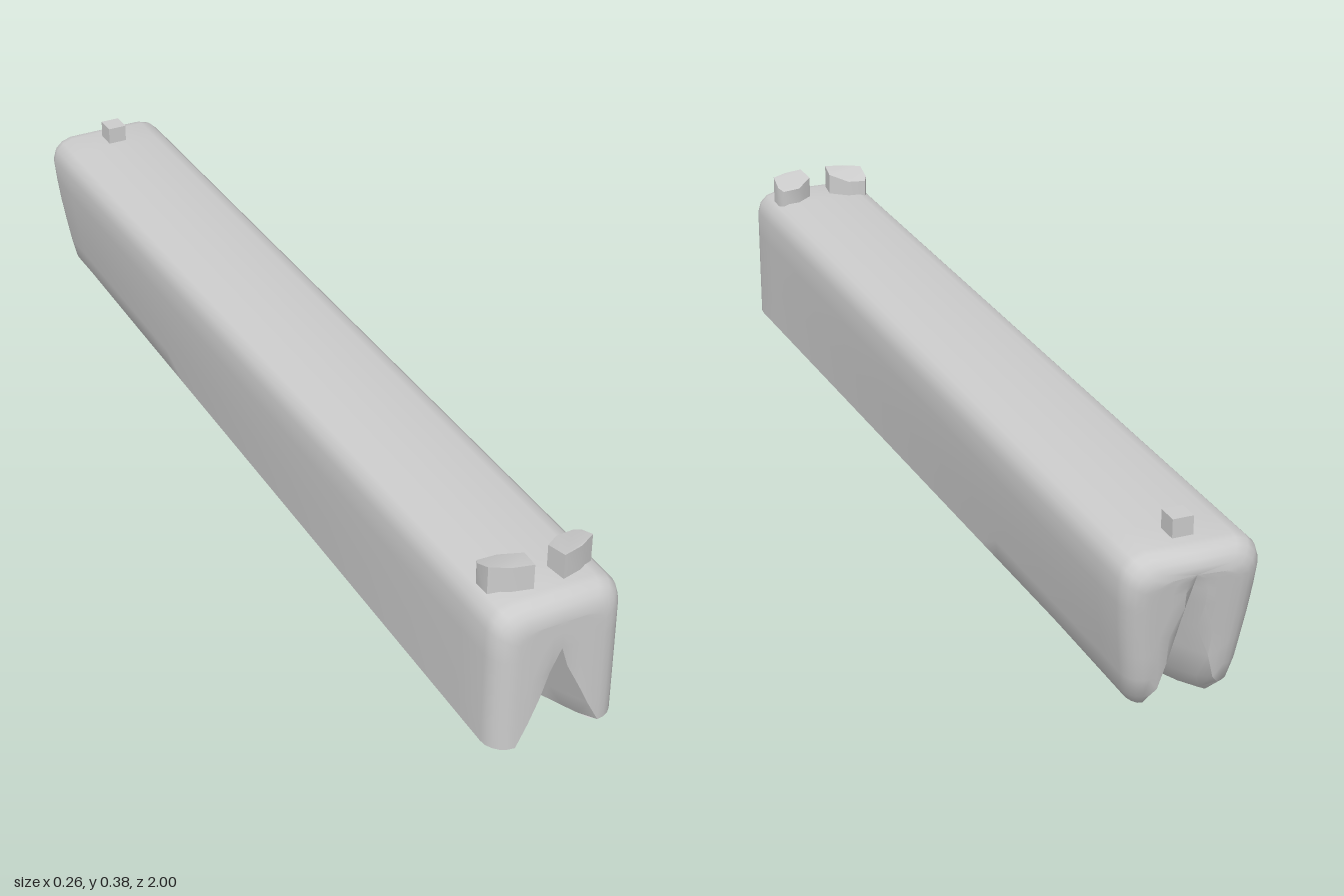
import * as THREE from 'three';
import { toCreasedNormals, mergeVertices } from 'three/addons/utils/BufferGeometryUtils.js';

const { clamp, lerp } = THREE.MathUtils;
const TOP = 0.336, ROUND = 0.045, WIDTH = 0.13;

// Half cross-sections at both ends: top centre, shoulder, side, lobe underside
const SHOULDER = [[0, TOP], [0.085, TOP], [0.108, 0.329], [0.123, 0.314]];
const FRONT = [...SHOULDER,
  [0.13, 0.29], [0.13, 0.235], [0.13, 0.185], [0.13, 0.137], [0.13, 0.09], [0.13, 0.043],
  [0.1, 0.041], [0.08, 0.04], [0.055, 0.04], [0.035, 0.04]];
const REAR = [...SHOULDER,
  [0.13, 0.29], [0.127, 0.24], [0.122, 0.19], [0.115, 0.14], [0.107, 0.09], [0.1, 0.05],
  [0.08, 0.018], [0.06, 0.006], [0.035, 0.004], [0.015, 0.012]];
const SIDE_END = 9, LAST = FRONT.length - 1;

// Height of the groove between the lobes, front to rear
function grooveHeight(t) {
  if (t < 0.35) return lerp(0.137, 0.06, t / 0.35);
  return lerp(0.06, 0.025, clamp((t - 0.35) / 0.35, 0, 1));
}

// V-shaped recess in the front face
function frontRecess(x, y) {
  const w = 0.08 * (0.235 - y) / 0.195;
  return 0.18 * Math.max(0, w - x) / 0.08;
}

// Sloping, rounded rear face with its own V-shaped recess
function rearRecess(x, y) {
  const slope = 0.03 * clamp((0.29 - y) / 0.19, 0, 1);
  const s = clamp((0.1 - y) / 0.096, 0, 1);
  const w = 0.06 * (0.31 - y) / 0.28;
  return slope + 0.085 * (1 - Math.sqrt(1 - s * s)) + 0.09 * Math.max(0, w - x) / 0.06;
}

function place(x, y, z) {
  const f = clamp((z - 0.6) / 0.4, 0, 1), r = clamp((-0.6 - z) / 0.4, 0, 1);
  return [x, y, z - f * frontRecess(x, y) + r * rearRecess(x, y)];
}

// Half cross-section at z, pulled in by an inset near the ends
function section(z, inset) {
  const t = clamp((1 - z) / 1.88, 0, 1);
  const pts = FRONT.map(([x, y], i) => [lerp(x, REAR[i][0], t), lerp(y, REAR[i][1], t)]);
  pts.push([0, grooveHeight(t)]);
  return pts.map(([x, y]) => [
    x * (1 - inset / WIDTH), y - inset * clamp((y - 0.25) / 0.08, 0, 1)]);
}

// Grid closing one end: rows run down the side, columns run towards the middle
function capGrid(pts, z) {
  const rows = [], inner = pts[LAST], side = pts[SIDE_END], apex = pts[LAST + 1];
  for (let j = 1; j <= SIDE_END; j++) {
    const t = (j - 1) / (SIDE_END - 1), row = [];
    for (let k = SIDE_END; k <= LAST; k++) {
      const f = (pts[k][0] - inner[0]) / (side[0] - inner[0]);
      const y = pts[j][1] + (pts[k][1] - side[1]) * t * t;
      const gap = inner[0] * clamp((apex[1] - y) / (apex[1] - inner[1]), 0, 1);
      row.push(j === SIDE_END ? place(...pts[k], z) : place(lerp(gap, pts[j][0], f), y, z));
    }
    rows.push(row);
  }
  return rows;
}

function bodyGeometry() {
  const pos = [];
  const tri = (a, b, c) => {
    pos.push(...a, ...b, ...c);
    for (const p of [a, c, b]) pos.push(-p[0], p[1], p[2]);
  };
  const grid = (rows, flip) => {
    for (let j = 0; j < rows.length - 1; j++) {
      for (let i = 0; i < rows[j].length - 1; i++) {
        const a = rows[j][i], b = rows[j][i + 1], c = rows[j + 1][i + 1], d = rows[j + 1][i];
        if (flip) { tri(a, d, b); tri(b, d, c); } else { tri(a, b, d); tri(b, c, d); }
      }
    }
  };

  // Stations: rounded front, long middle, rounded rear
  const stations = [], steps = 5, middle = 24;
  const arc = (i) => {
    const a = (i / steps) * Math.PI / 2;
    return [1 - ROUND + ROUND * Math.sin(a), ROUND * (1 - Math.cos(a))];
  };
  for (let i = steps; i > 0; i--) stations.push(arc(i));
  for (let i = 0; i <= middle; i++) stations.push([lerp(1 - ROUND, ROUND - 1, i / middle), 0]);
  for (let i = 1; i <= steps; i++) { const [z, d] = arc(i); stations.push([-z, d]); }

  const sections = stations.map(([z, d]) => section(z, d));
  grid(sections.map((s, i) => s.map(([x, y]) => place(x, y, stations[i][0]))), false);
  grid(capGrid(sections[0], 1), false);
  grid(capGrid(sections[sections.length - 1], -1), true);

  const g = new THREE.BufferGeometry();
  g.setAttribute('position', new THREE.Float32BufferAttribute(pos, 3));
  return toCreasedNormals(mergeVertices(g, 1e-5), 0.65);
}

// Raised wedge block with a slanted plan and a top falling to the rear
function wedgeGeometry(side) {
  const plan = [[0.024, 0.9], [0.06, 0.87], [0.098, 0.866], [0.106, 0.88], [0.105, 0.915], [0.07, 0.935], [0.03, 0.945]];
  const shape = new THREE.Shape(plan.map(([x, z]) => new THREE.Vector2(side * x, -z)));
  const g = new THREE.ExtrudeGeometry(shape, { depth: 0.067, bevelEnabled: false });
  g.rotateX(-Math.PI / 2).translate(0, 0.32, 0);
  const p = g.attributes.position;
  for (let i = 0; i < p.count; i++) {
    if (p.getY(i) > 0.35) p.setY(i, p.getY(i) - 0.4 * Math.max(0, 0.915 - p.getZ(i)));
  }
  return toCreasedNormals(g, 0.6);
}

export function createModel() {
  const model = new THREE.Group();
  const material = new THREE.MeshStandardMaterial({ color: 0xcccccc, side: THREE.DoubleSide });
  const add = (name, geometry) => {
    const mesh = new THREE.Mesh(geometry, material);
    mesh.name = name;
    model.add(mesh);
    return mesh;
  };

  add('body', bodyGeometry());
  add('leftFrontSight', wedgeGeometry(1));
  add('rightFrontSight', wedgeGeometry(-1));
  add('rearSight', new THREE.BoxGeometry(0.04, 0.05, 0.042)).position.set(0, 0.347, -0.915);
  return model;
}
